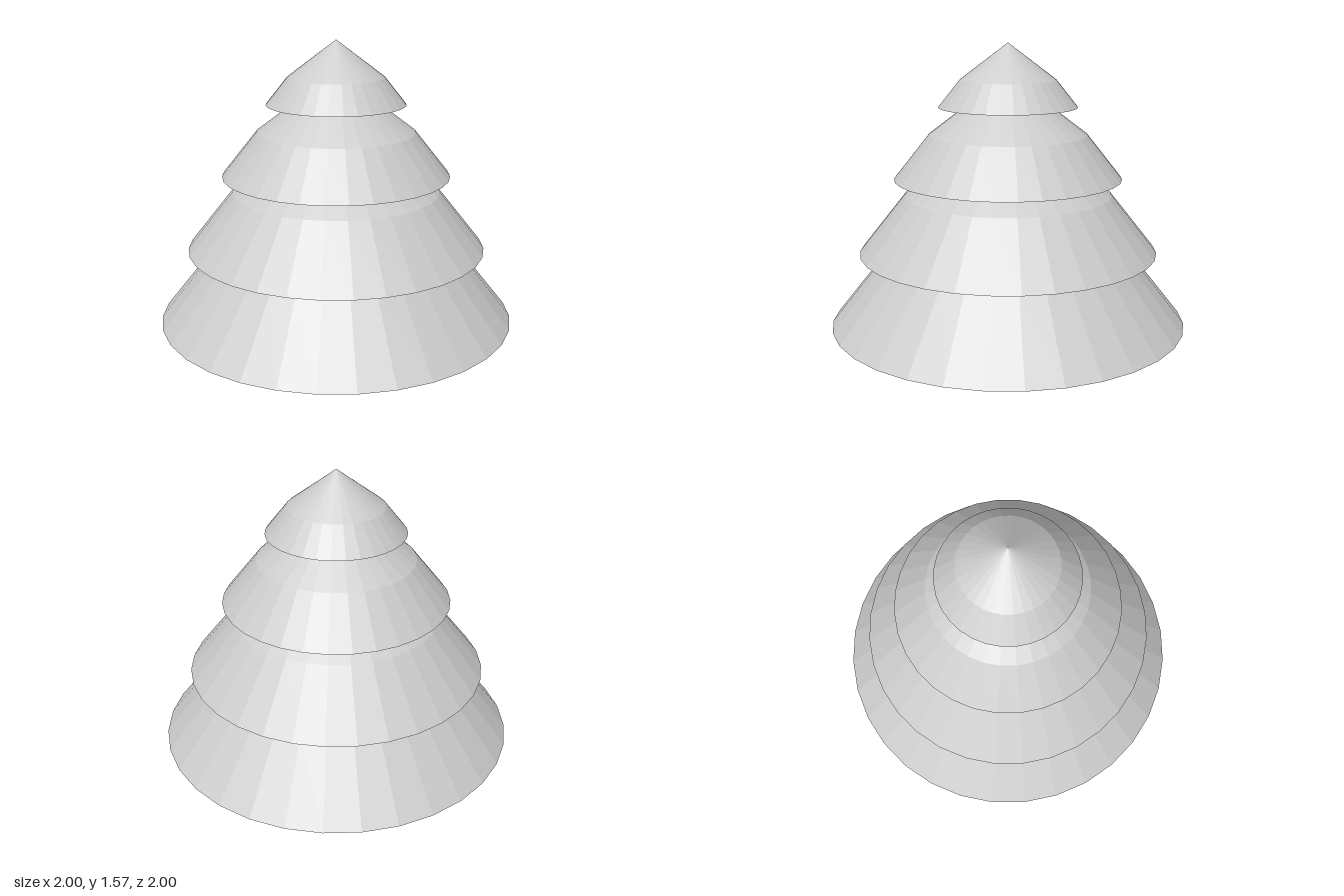
import * as THREE from 'three';

const SIDES = 32;
const material = new THREE.MeshStandardMaterial({
  color: 0xcccccc, flatShading: true, side: THREE.DoubleSide,
});

// Tier proportions for a rim radius of 1: [radius, height]
const RIM = [1, 0];
const SHOULDER = [0.695, 0.383];
const FLAT_TOP = [[0.333, 0.657], [0, 0.657]];
const POINTED_TOP = [[0, 0.909]];

// One hollow, open-bottomed skirt of branches
function makeTier(name, radius, y, top) {
  const profile = [RIM, SHOULDER, ...top].map(
    ([r, h]) => new THREE.Vector2(r * radius, h * radius));
  const tier = new THREE.Mesh(new THREE.LatheGeometry(profile, SIDES), material);
  tier.name = name;
  tier.position.y = y;
  return tier;
}

export function createModel() {
  const tree = new THREE.Group();
  tree.name = 'tieredTree';
  tree.add(
    makeTier('bottomTier', 1, 0, FLAT_TOP),
    makeTier('lowerMiddleTier', 0.835, 0.41, FLAT_TOP),
    makeTier('upperMiddleTier', 0.635, 0.823, FLAT_TOP),
    makeTier('topTier', 0.386, 1.218, POINTED_TOP),
  );
  return tree;
}
